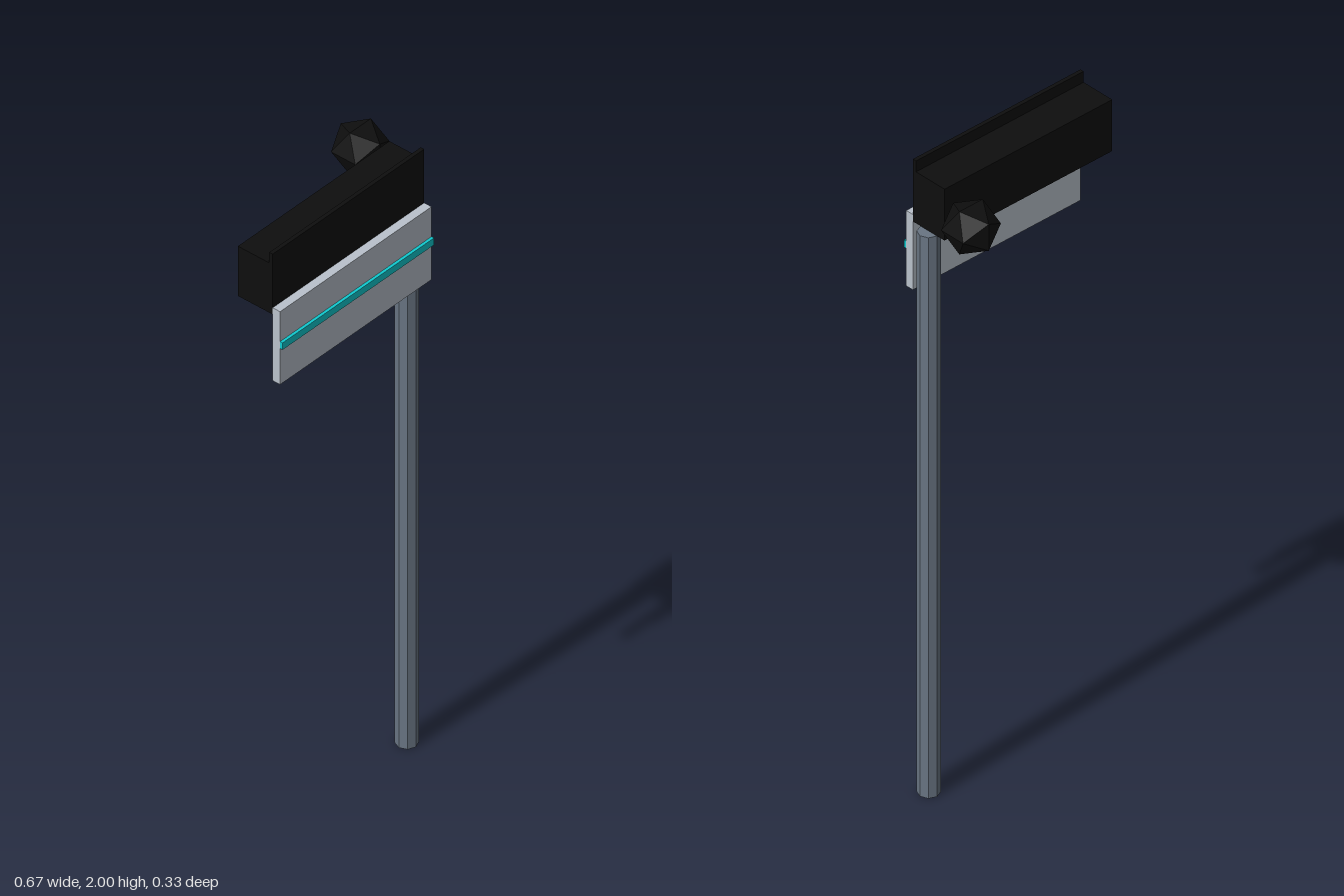
import * as THREE from 'three';

export function createModel() {
  const model = new THREE.Group();
  model.name = 'signPost';

  const mat = (name, color) => {
    const m = new THREE.MeshStandardMaterial({ color, flatShading: true });
    m.name = name;
    return m;
  };
  const black = mat('black', 0x0e0e0e);
  const steel = mat('steelGrey', 0x697583);
  const pale = mat('paleGrey', 0xbac2cc);
  const cyan = mat('cyan', 0x10cad0);

  const add = (name, geometry, material, x, y, z) => {
    const mesh = new THREE.Mesh(geometry, material);
    mesh.name = name;
    mesh.position.set(x, y, z);
    model.add(mesh);
  };

  // All boards share one left and right edge
  const x0 = -0.338, x1 = 0.268;
  const board = (name, material, y0, y1, z0, z1) =>
    add(name, new THREE.BoxGeometry(x1 - x0, y1 - y0, z1 - z0), material,
      (x0 + x1) / 2, (y0 + y1) / 2, (z0 + z1) / 2);

  // Eight-sided pole
  add('pole', new THREE.CylinderGeometry(0.032, 0.032, 1.8, 8), steel, 0.268, 0.9, 0.066);

  // Dark housing with a taller front plate
  board('housing', black, 1.8, 1.965, 0.005, 0.115);
  board('frontPlate', black, 1.8, 2, 0.115, 0.127);

  // Hanging sign panel and its stripe
  board('signPanel', pale, 1.58, 1.822, 0.127, 0.153);
  board('signStripe', cyan, 1.7, 1.723, 0.153, 0.162);

  // Faceted lamp behind the pole
  add('lamp', new THREE.IcosahedronGeometry(0.0805, 0), black, 0.268, 1.896, -0.097);

  return model;
}
